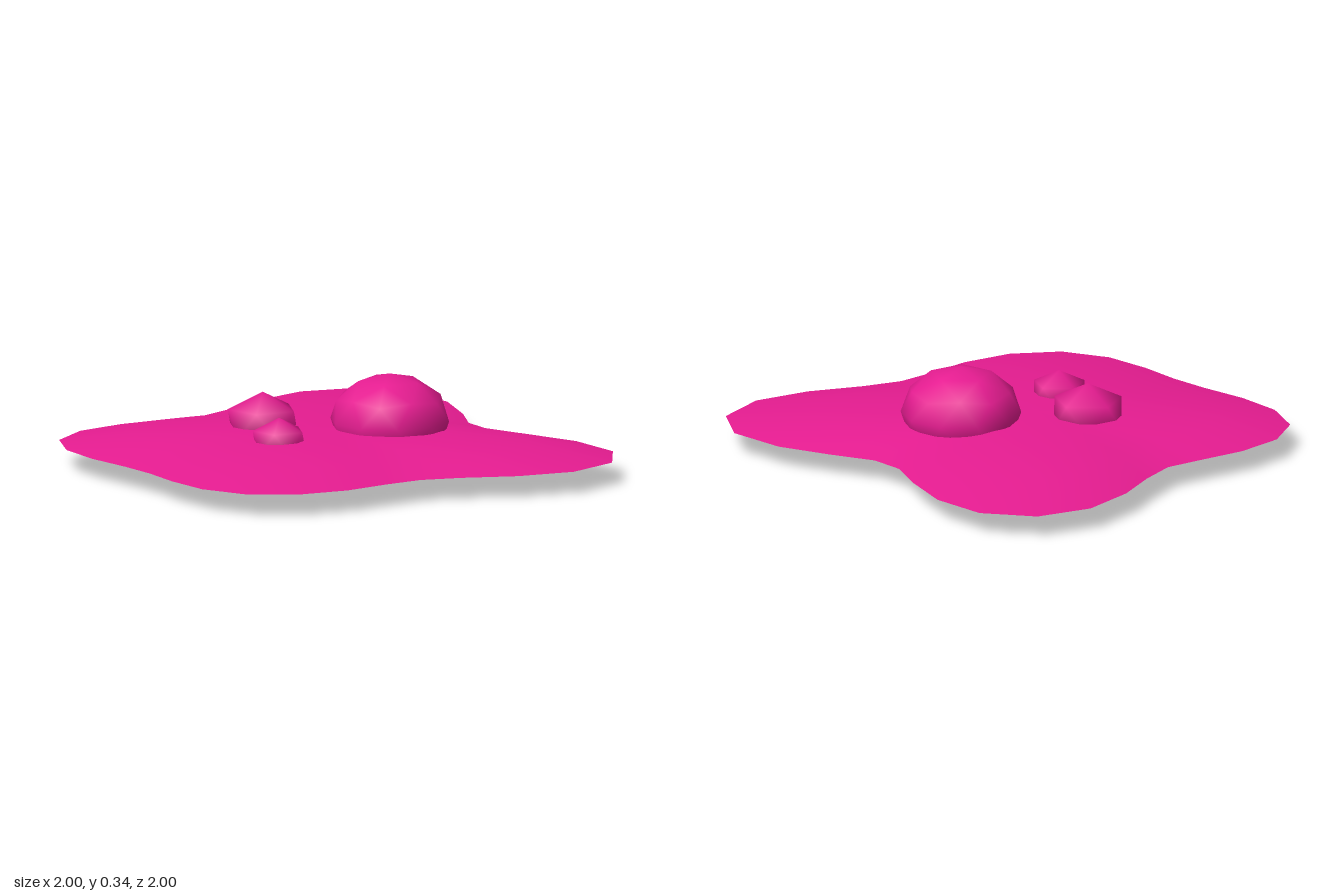
import * as THREE from 'three';
import { mergeVertices } from 'three/addons/utils/BufferGeometryUtils.js';

// Rim of the splat as x, z pairs
const RIM = [
  [-0.28, -1], [-0.08, -0.895], [0.08, -0.72], [0.18, -0.58], [0.3, -0.51], [0.48, -0.495],
  [0.69, -0.465], [0.9, -0.36], [1, -0.17], [0.96, 0.05], [0.82, 0.22], [0.65, 0.35],
  [0.54, 0.455], [0.47, 0.59], [0.4, 0.755], [0.28, 0.91], [0.11, 1], [-0.08, 0.99],
  [-0.25, 0.91], [-0.39, 0.82], [-0.53, 0.75], [-0.71, 0.675], [-0.87, 0.575], [-0.985, 0.42],
  [-1, 0.23], [-0.93, 0.05], [-0.82, -0.11], [-0.74, -0.23], [-0.715, -0.39], [-0.705, -0.59],
  [-0.645, -0.81], [-0.495, -0.97],
];
const CENTRE = [-0.13, 0.065];
const BASE_Y = 0.085;
const DOME = 0.067;

// Open domed sheet: concentric copies of the rim, falling off towards the edge
function splatGeometry(scales) {
  const n = RIM.length;
  const positions = [CENTRE[0], BASE_Y + DOME, CENTRE[1]];
  const index = [];
  scales.forEach((t, k) => {
    const y = BASE_Y + DOME * (1 - t ** 3.2);
    RIM.forEach(([x, z], i) => {
      positions.push(CENTRE[0] + (x - CENTRE[0]) * t, y, CENTRE[1] + (z - CENTRE[1]) * t);
      const j = (i + 1) % n;
      const outer = 1 + k * n;
      const inner = outer - n;
      if (k === 0) {
        index.push(0, outer + j, outer + i);
      } else {
        index.push(inner + i, outer + j, outer + i, inner + i, inner + j, outer + j);
      }
    });
  });
  const geometry = new THREE.BufferGeometry();
  geometry.setAttribute('position', new THREE.Float32BufferAttribute(positions, 3));
  geometry.setIndex(index);
  geometry.computeVertexNormals();
  return geometry;
}

// Smooth-shaded icosphere with a vertex at each pole, flattened vertically
function blobGeometry(radius, halfHeight, detail) {
  const vertices = [0, 1, 0, 0, -1, 0];
  const faces = [];
  const y = 1 / Math.sqrt(5);
  const r = 2 * y;
  for (let i = 0; i < 5; i++) {
    const a = (i * Math.PI * 2) / 5;
    const b = a + Math.PI / 5;
    vertices.push(r * Math.cos(a), y, -r * Math.sin(a), r * Math.cos(b), -y, -r * Math.sin(b));
    const j = (i + 1) % 5;
    const [u, l, u2, l2] = [2 + 2 * i, 3 + 2 * i, 2 + 2 * j, 3 + 2 * j];
    faces.push(0, u, u2, u, l, u2, l, l2, u2, 1, l2, l);
  }
  let geometry = new THREE.PolyhedronGeometry(vertices, faces, 1, detail);
  geometry.scale(radius, halfHeight, radius);
  geometry.deleteAttribute('normal');
  geometry.deleteAttribute('uv');
  geometry = mergeVertices(geometry, 1e-4);
  geometry.computeVertexNormals();
  return geometry;
}

export function createModel() {
  const group = new THREE.Group();
  group.name = 'splat';
  const pink = new THREE.MeshStandardMaterial({ color: 0xe61c91, side: THREE.DoubleSide });
  pink.name = 'hot pink';

  const add = (name, geometry, x = 0, y = 0, z = 0) => {
    const mesh = new THREE.Mesh(geometry, pink);
    mesh.name = name;
    mesh.position.set(x, y, z);
    group.add(mesh);
  };

  // Puddle: thin shallow dome, hollow underneath
  add('puddle', splatGeometry([0.36, 0.72, 1]));

  // Droplets sunk through the puddle
  add('largeBlob', blobGeometry(0.221, 0.172, 1), 0.11, 0.174, -0.102);
  add('mediumBlob', blobGeometry(0.145, 0.112, 0), -0.315, 0.159, 0.09);
  add('smallBlob', blobGeometry(0.109, 0.085, 0), -0.12, 0.148, 0.325);

  return group;
}
